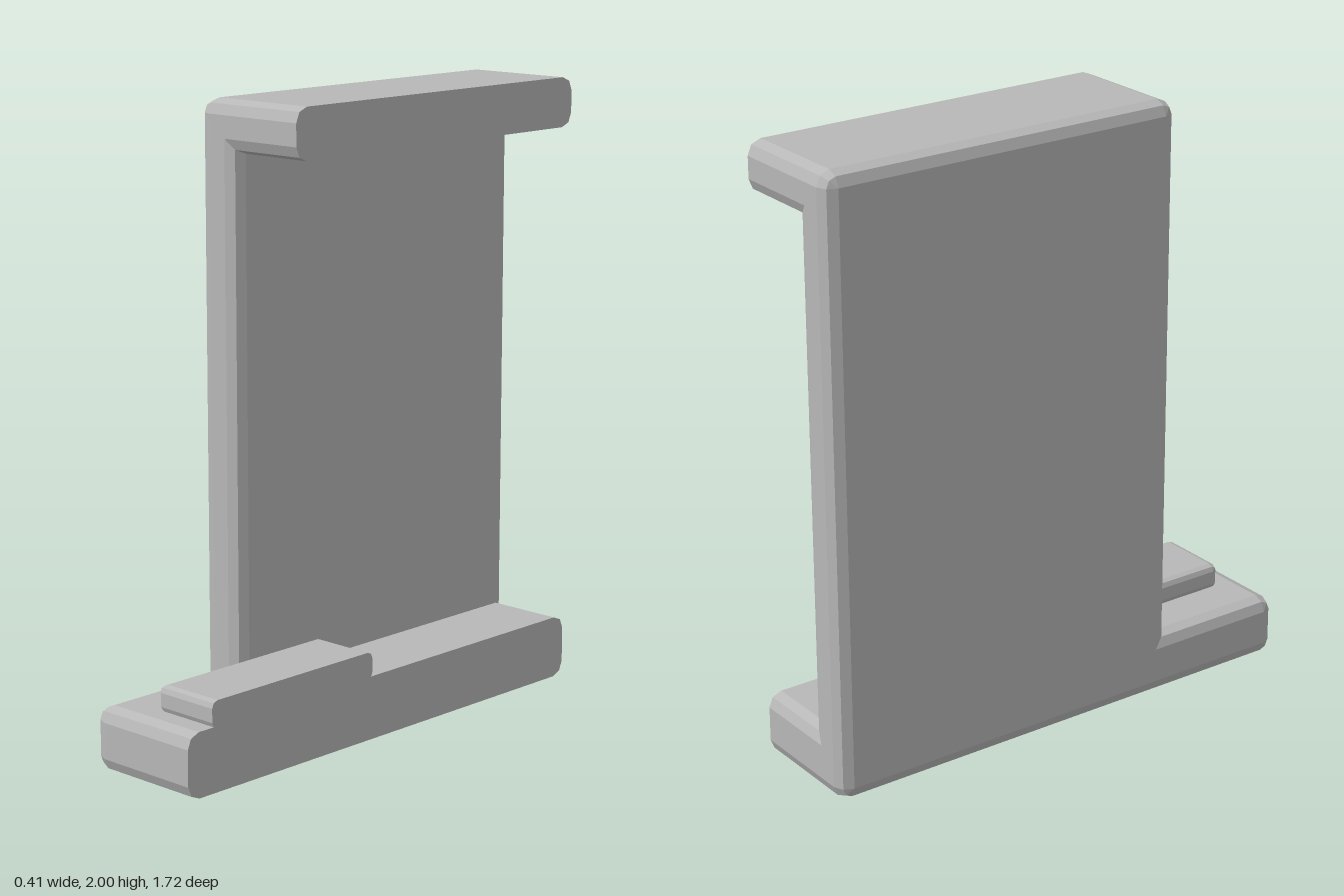
import * as THREE from 'three';

const STEPS = 2; // facets per rounded edge

// Box between two corners with faceted round edges; cutRight leaves the +x end flat and sharp.
function softBlock([x0, y0, z0], [x1, y1, z1], r, cutRight) {
  const cy = (y0 + y1) / 2, cz = (z0 + z1) / 2;
  const hy = (y1 - y0) / 2 - r, hz = (z1 - z0) / 2 - r;
  const corners = [[1, 1], [-1, 1], [-1, -1], [1, -1]];

  // Cross-sections along x, each with its own corner radius
  const sections = [];
  for (let i = 0; i <= STEPS; i++) {
    const t = (i / STEPS) * Math.PI / 2;
    sections.push([x0 + r - r * Math.cos(t), r * Math.sin(t)]);
  }
  if (cutRight) sections.push([x1, r]);
  else for (let i = STEPS; i >= 0; i--) {
    const t = (i / STEPS) * Math.PI / 2;
    sections.push([x1 - r + r * Math.cos(t), r * Math.sin(t)]);
  }

  const positions = [], index = [];
  for (const [x, radius] of sections) {
    corners.forEach(([sy, sz], c) => {
      for (let k = 0; k <= STEPS; k++) {
        const a = (c + k / STEPS) * Math.PI / 2;
        positions.push(x, cy + sy * hy + radius * Math.cos(a), cz + sz * hz + radius * Math.sin(a));
      }
    });
  }
  const n = 4 * (STEPS + 1), last = (sections.length - 1) * n;
  for (let s = 0; s < last; s += n) {
    for (let j = 0; j < n; j++) {
      const a = s + j, b = s + (j + 1) % n;
      index.push(a, b, b + n, a, b + n, a + n);
    }
  }
  // End caps
  const left = positions.length / 3;
  positions.push(x0, cy, cz, x1, cy, cz);
  for (let j = 0; j < n; j++) {
    const k = (j + 1) % n;
    index.push(left, k, j, left + 1, last + j, last + k);
  }

  const geometry = new THREE.BufferGeometry();
  geometry.setAttribute('position', new THREE.Float32BufferAttribute(positions, 3));
  geometry.setIndex(index);
  const flat = geometry.toNonIndexed();
  flat.computeVertexNormals();
  return flat;
}

export function createModel() {
  const model = new THREE.Group();
  model.name = 'bracket';
  const grey = new THREE.MeshStandardMaterial({ color: 0xb8b8b8, flatShading: true });
  grey.name = 'plain grey';

  const add = (name, low, high, radius, cutRight) => {
    const mesh = new THREE.Mesh(softBlock(low, high, radius, cutRight), grey);
    mesh.name = name;
    model.add(mesh);
  };

  // Upright wall, rounded on every edge
  add('wall', [-0.205, 0, -0.86], [-0.05, 2, 0.4], 0.045, false);
  // Top and bottom bars, cut flat on the open side
  add('topBar', [-0.205, 1.84, -0.86], [0.205, 2, 0.4], 0.045, true);
  add('bottomBar', [-0.205, 0, -0.86], [0.205, 0.205, 0.86], 0.045, true);
  // Raised pad on the bottom bar
  add('pad', [-0.03, 0.197, 0.07], [0.205, 0.285, 0.76], 0.022, true);

  return model;
}
